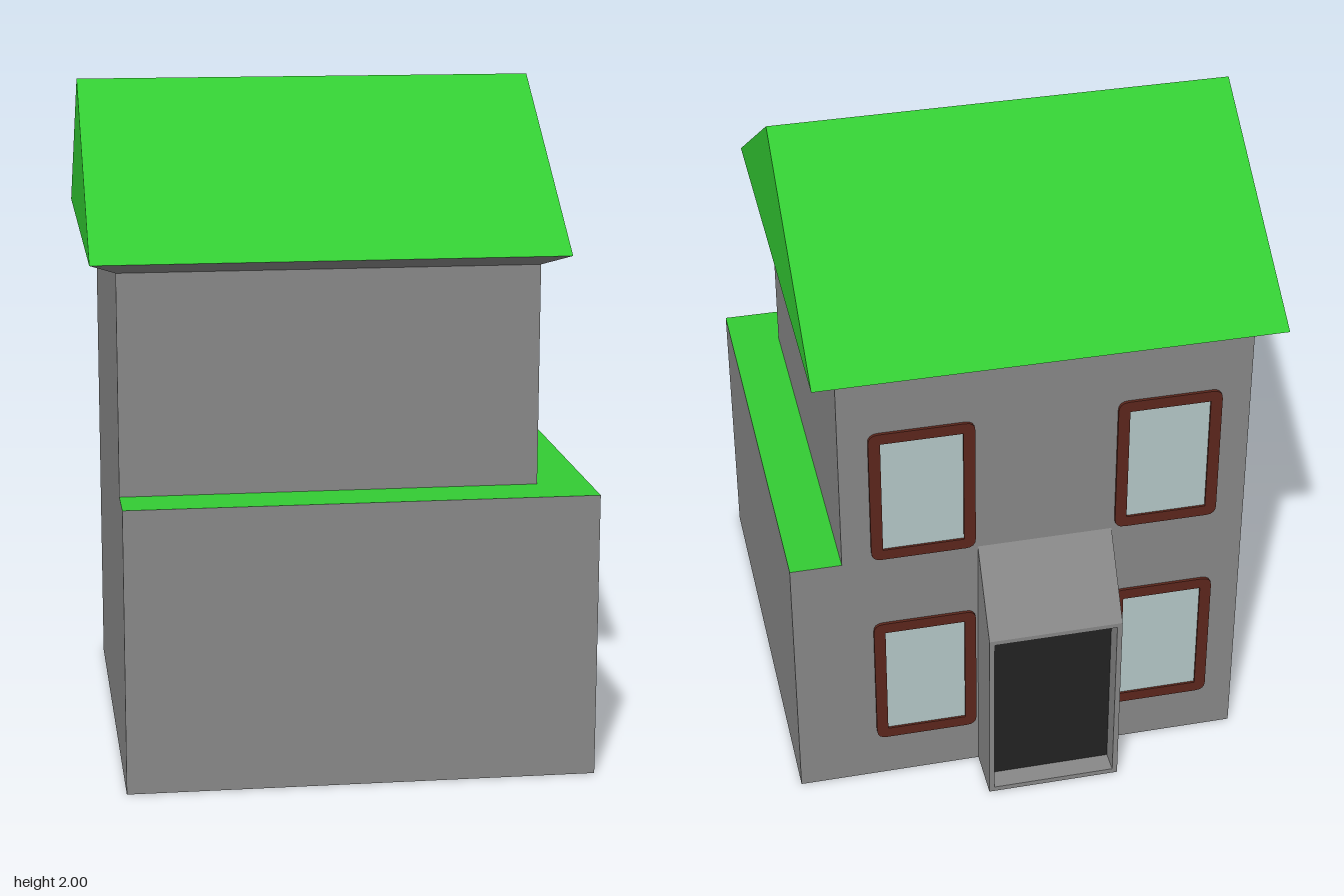
import * as THREE from 'three';

const mat = (name, color) => {
  const m = new THREE.MeshStandardMaterial({ color });
  m.name = name;
  return m;
};

export function createModel() {
  const house = new THREE.Group();
  house.name = 'house';
  const wall = mat('wall grey', 0x888888);
  const green = mat('roof green', 0x33cc33);
  const brown = mat('frame brown', 0x5c261c);
  const glass = mat('window glass', 0xb4c7c7);
  const dark = mat('door dark', 0x222222);

  const add = (name, geometry, material, parent = house) => {
    const mesh = new THREE.Mesh(geometry, material);
    mesh.name = name;
    parent.add(mesh);
    return mesh;
  };
  // box given by its minimum and maximum corners
  const span = (x0, x1, y0, y1, z0, z1) =>
    new THREE.BoxGeometry(x1 - x0, y1 - y0, z1 - z0)
      .translate((x0 + x1) / 2, (y0 + y1) / 2, (z0 + z1) / 2);
  // profile of [z, y] points extruded along x
  const prism = (points, x0, x1) => {
    const shape = new THREE.Shape(points.map(([z, y]) => new THREE.Vector2(-z, y)));
    return new THREE.ExtrudeGeometry(shape, { depth: x1 - x0, bevelEnabled: false })
      .rotateY(Math.PI / 2).translate(x0, 0, 0);
  };
  const rectPath = (Type, x0, x1, y0, y1) => new Type().moveTo(x0, y0)
    .lineTo(x1, y0).lineTo(x1, y1).lineTo(x0, y1).closePath();

  const BACK = -0.61, CX = -0.04;

  // storeys: the lower one has a green terrace on top
  add('lowerStorey', span(-0.655, 0.73, 0, 0.85, BACK, 0.77),
    [wall, wall, green, wall, wall, wall]);
  add('upperStorey', span(-0.655, 0.575, 0.85, 1.505, BACK, 0.615), wall);

  // eaves flare outwards to the roof edge
  const eaves = span(-0.655, 0.575, 1.505, 1.54, BACK, 0.615);
  const p = eaves.attributes.position;
  for (let i = 0; i < p.count; i++) {
    if (p.getY(i) < 1.52) continue;
    p.setX(i, p.getX(i) > 0 ? 0.652 : -0.732);
    p.setZ(i, p.getZ(i) > 0 ? 0.69 : -0.69);
  }
  eaves.computeVertexNormals();
  add('eaves', eaves, wall);

  // gabled roof
  add('roof', prism([[0.69, 1.54], [-0.69, 1.54], [0, 2]], -0.732, 0.652), green);

  // porch with a sloping top and a recessed door
  const porch = new THREE.Group();
  porch.name = 'porch';
  house.add(porch);
  const px0 = CX - 0.205, px1 = CX + 0.205, recess = -0.7, front = -0.77;
  add('porchBody', prism([[BACK, 0], [recess, 0], [recess, 0.61], [front, 0.61],
    [BACK, 0.85]], px0, px1), wall, porch);
  const surround = rectPath(THREE.Shape, px0, px1, 0, 0.61);
  surround.holes.push(rectPath(THREE.Path, px0 + 0.016, px1 - 0.016, 0.016, 0.595));
  add('doorSurround', new THREE.ExtrudeGeometry(surround,
    { depth: recess - front, bevelEnabled: false }).translate(0, 0, front), wall, porch);
  add('door', span(px0 + 0.016, px1 - 0.016, 0.016, 0.595, recess - 0.004, recess),
    dark, porch);

  // four windows, each a rounded frame around a set-back pane
  const w = 0.157, h = 0.228, r = 0.03, bar = 0.035;
  const outline = new THREE.Shape().moveTo(-w + r, -h).lineTo(w - r, -h)
    .quadraticCurveTo(w, -h, w, -h + r).lineTo(w, h - r)
    .quadraticCurveTo(w, h, w - r, h).lineTo(-w + r, h)
    .quadraticCurveTo(-w, h, -w, h - r).lineTo(-w, -h + r)
    .quadraticCurveTo(-w, -h, -w + r, -h);
  outline.holes.push(rectPath(THREE.Path, -w + bar, w - bar, -h + bar, h - bar));
  const frameGeo = new THREE.ExtrudeGeometry(outline,
    { depth: 0.009, bevelEnabled: false, curveSegments: 4 }).translate(0, 0, -0.009);
  const paneGeo = span(-w + bar, w - bar, -h + bar, h - bar, -0.002, 0);
  for (const side of [-1, 1]) {
    for (const y of [0.38, 1.085]) {
      const win = new THREE.Group();
      win.name = 'window';
      win.position.set(CX + side * 0.37, y, BACK);
      add('windowFrame', frameGeo, brown, win);
      add('windowPane', paneGeo, glass, win);
      house.add(win);
    }
  }
  return house;
}
